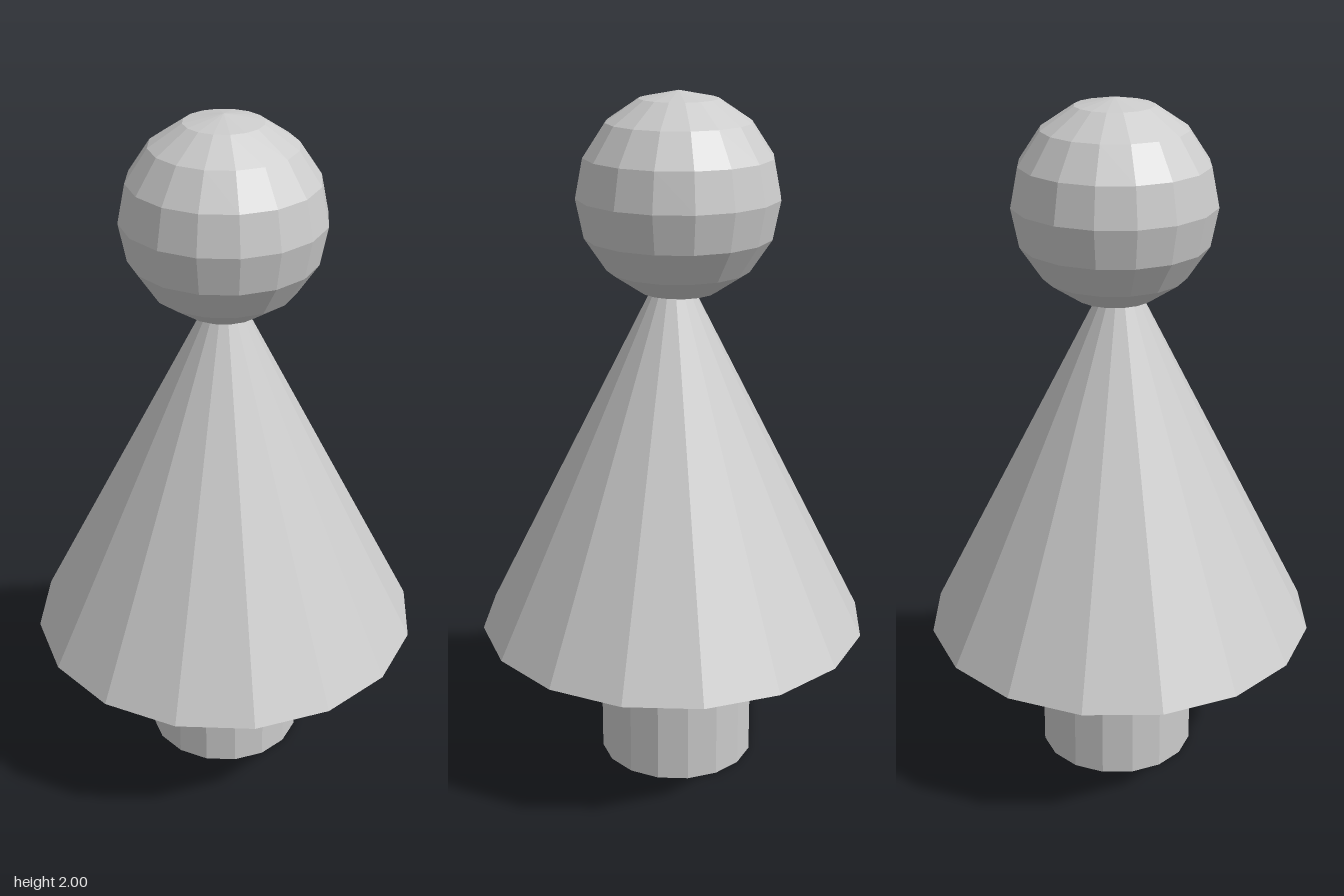
import * as THREE from 'three';

const SIDES = 16;

export function createModel() {
  const model = new THREE.Group();
  model.name = 'pawnFigure';
  const material = new THREE.MeshStandardMaterial({ color: 0xcccccc, flatShading: true });

  const addPart = (name, geometry, y, z = 0) => {
    const mesh = new THREE.Mesh(geometry, material);
    mesh.name = name;
    mesh.position.set(0, y, z);
    model.add(mesh);
  };

  // Short round stand, set slightly back
  addPart('base', new THREE.CylinderGeometry(0.231, 0.231, 0.43, SIDES), 0.215, -0.012);

  // Wide cone whose tip ends inside the head
  addPart('coneBody', new THREE.ConeGeometry(0.573, 1.14, SIDES), 1.0);

  // Faceted ball on top, set slightly back
  addPart('head', new THREE.SphereGeometry(0.287, SIDES, 8), 1.713, -0.017);

  return model;
}
